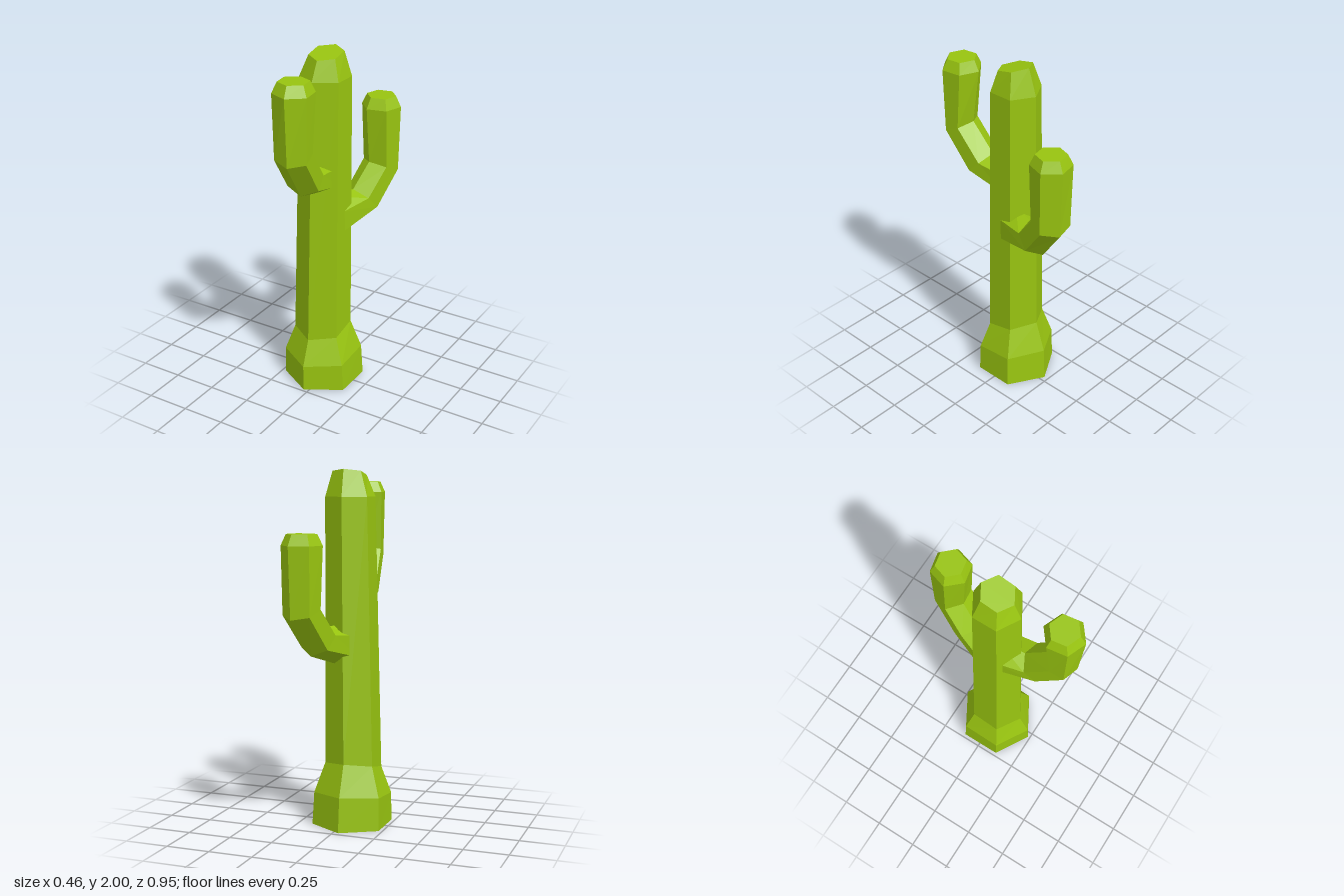
import * as THREE from 'three';

const SIDES = 6;
const green = new THREE.MeshStandardMaterial({ color: 0x98c410, flatShading: true });

// Closed, faceted skin over a list of six-point rings
function loft(name, rings) {
  const pos = [];
  const tri = (a, b, c) => pos.push(...a.toArray(), ...b.toArray(), ...c.toArray());
  for (let j = 0; j < rings.length - 1; j++) {
    for (let i = 0; i < SIDES; i++) {
      const k = (i + 1) % SIDES;
      const [a, b, c, d] = [rings[j][i], rings[j][k], rings[j + 1][k], rings[j + 1][i]];
      tri(a, b, c);
      tri(a, c, d);
    }
  }
  const first = rings[0], last = rings[rings.length - 1];
  for (let i = 1; i < SIDES - 1; i++) {
    tri(first[0], first[i + 1], first[i]);
    tri(last[0], last[i], last[i + 1]);
  }
  const geo = new THREE.BufferGeometry();
  geo.setAttribute('position', new THREE.Float32BufferAttribute(pos, 3));
  geo.computeVertexNormals();
  const mesh = new THREE.Mesh(geo, green);
  mesh.name = name;
  return mesh;
}

const hexagon = (point) =>
  Array.from({ length: SIDES }, (_, i) => point(Math.cos(i * Math.PI / 3), Math.sin(i * Math.PI / 3)));

// Trunk ring: centre, radius and a tilt that raises the back
const trunkRing = ([x, y, z, r, tilt]) =>
  hexagon((c, s) => new THREE.Vector3(x + r * s, y - tilt * (z + r * c), z + r * c));

// Arm: each ring runs from an outer to an inner corner in the arm's upright plane
function arm(name, x0, yaw, sections) {
  const dx = Math.sin(yaw), dz = Math.cos(yaw);
  return loft(name, sections.map(([so, yo, si, yi, r]) => hexagon((c, s) => {
    const out = (so + si) / 2 + (so - si) / 2 * c;
    const y = (yo + yi) / 2 + (yo - yi) / 2 * c;
    return new THREE.Vector3(x0 + dx * out + dz * r * s, y, dz * out - dx * r * s);
  })));
}

export function createModel() {
  const group = new THREE.Group();
  group.name = 'cactus';

  // Trunk with a flared foot and a slanted, bevelled top
  group.add(loft('trunk', [
    [-0.03, 0, 0.006, 0.23, 0],
    [-0.033, 0.175, 0.01, 0.223, 0.1],
    [-0.035, 0.34, 0.012, 0.162, 0.22],
    [-0.02, 1.85, 0.002, 0.14, 0],
    [-0.015, 1.979, 0.002, 0.095, 0.22],
  ].map(trunkRing)));

  // Higher arm on the front, lower arm on the back
  group.add(arm('frontArm', -0.037, 0.14, [
    [0.02, 1.18, 0.02, 1.40, 0.115],
    [0.303, 1.27, 0.17, 1.40, 0.105],
    [0.463, 1.49, 0.30, 1.56, 0.105],
    [0.482, 1.87, 0.257, 1.87, 0.113],
    [0.45, 1.93, 0.285, 1.93, 0.085],
  ]));
  group.add(arm('backArm', 0, Math.atan2(0.3, -0.95), [
    [0.02, 0.905, 0.02, 1.15, 0.115],
    [0.32, 1.0, 0.18, 1.145, 0.105],
    [0.484, 1.21, 0.30, 1.28, 0.108],
    [0.50, 1.60, 0.275, 1.60, 0.113],
    [0.47, 1.66, 0.305, 1.66, 0.085],
  ]));
  return group;
}
